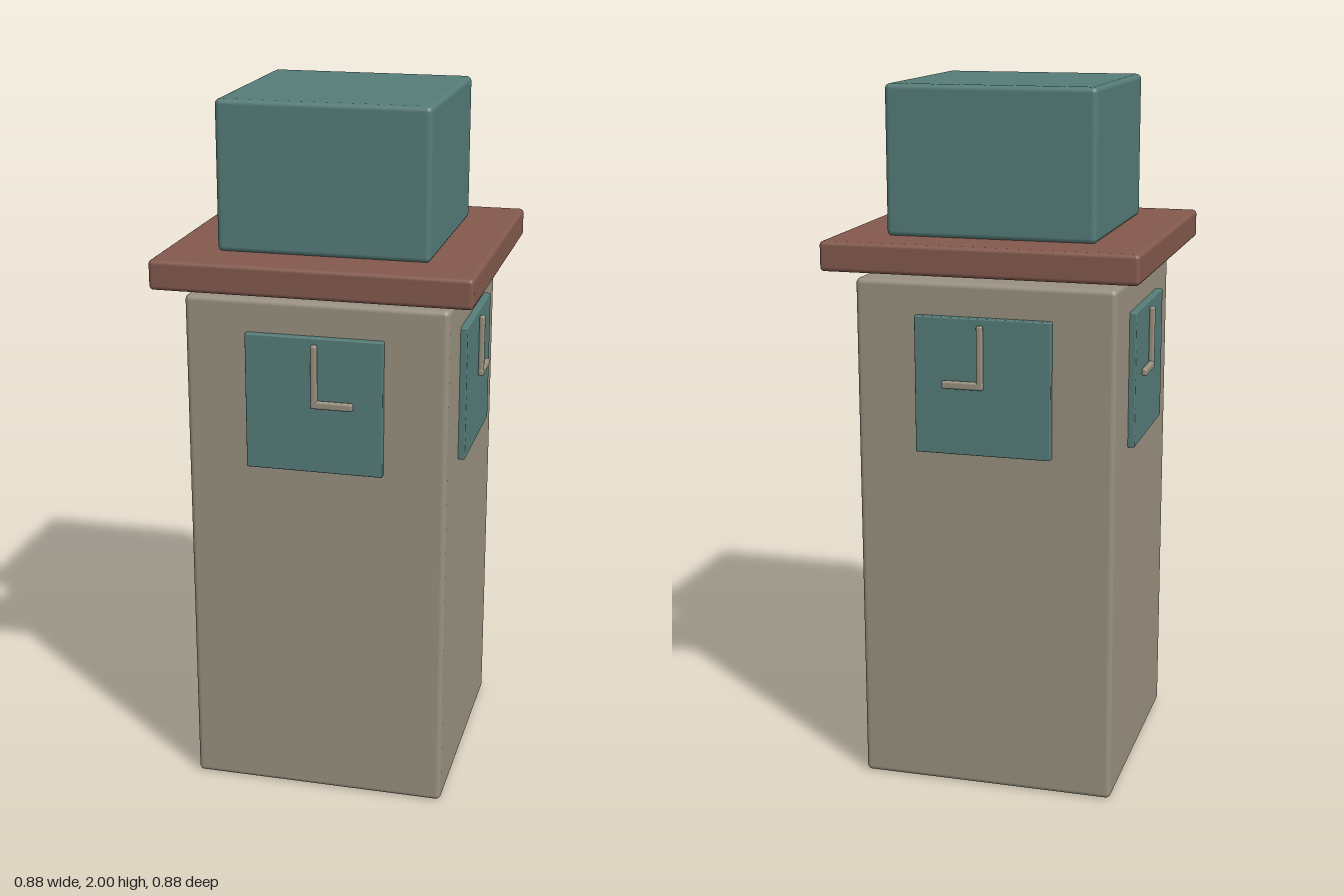
import * as THREE from 'three';
import { RoundedBoxGeometry } from 'three/addons/geometries/RoundedBoxGeometry.js';

const stone = new THREE.MeshStandardMaterial({ color: 0x999180 });
const teal = new THREE.MeshStandardMaterial({ color: 0x557c78 });
const brick = new THREE.MeshStandardMaterial({ color: 0x83594d });

// Rounded block centred at (x, y, z)
function block(name, [w, h, d], [x, y, z], radius, material) {
  const mesh = new THREE.Mesh(new RoundedBoxGeometry(w, h, d, 3, radius), material);
  mesh.name = name;
  mesh.position.set(x, y, z);
  return mesh;
}

// Square dial with two hands, facing +z; dir is the side the hour hand points to
function clockFace(name, dir) {
  const face = new THREE.Group();
  face.name = name;
  face.add(
    block('dial', [0.385, 0.385, 0.03], [0, 1.193, 0.372], 0.004, teal),
    block('minuteHand', [0.018, 0.175, 0.016], [dir * 0.004, 1.281, 0.395], 0.006, stone),
    block('hourHand', [0.118, 0.022, 0.016], [dir * 0.053, 1.2, 0.395], 0.006, stone)
  );
  return face;
}

export function createModel() {
  const tower = new THREE.Group();
  tower.name = 'clockTower';

  // Shaft, overhanging cornice and top block
  tower.add(
    block('shaft', [0.735, 1.475, 0.735], [0, 0.7425, 0], 0.015, stone),
    block('cornice', [0.884, 0.083, 0.884], [0, 1.546, 0], 0.012, brick),
    block('topBlock', [0.592, 0.415, 0.592], [0.003, 1.7925, 0], 0.015, teal)
  );

  // One clock per side; back and left mirror front and right
  const sides = [['frontClock', 0, 1], ['leftClock', 1, 1], ['backClock', 2, -1], ['rightClock', 3, -1]];
  for (const [name, turns, dir] of sides) {
    const face = clockFace(name, dir);
    face.rotation.y = turns * Math.PI / 2;
    tower.add(face);
  }

  // Rest the shaft on the ground
  tower.children[0].position.y = 0.74;
  return tower;
}
